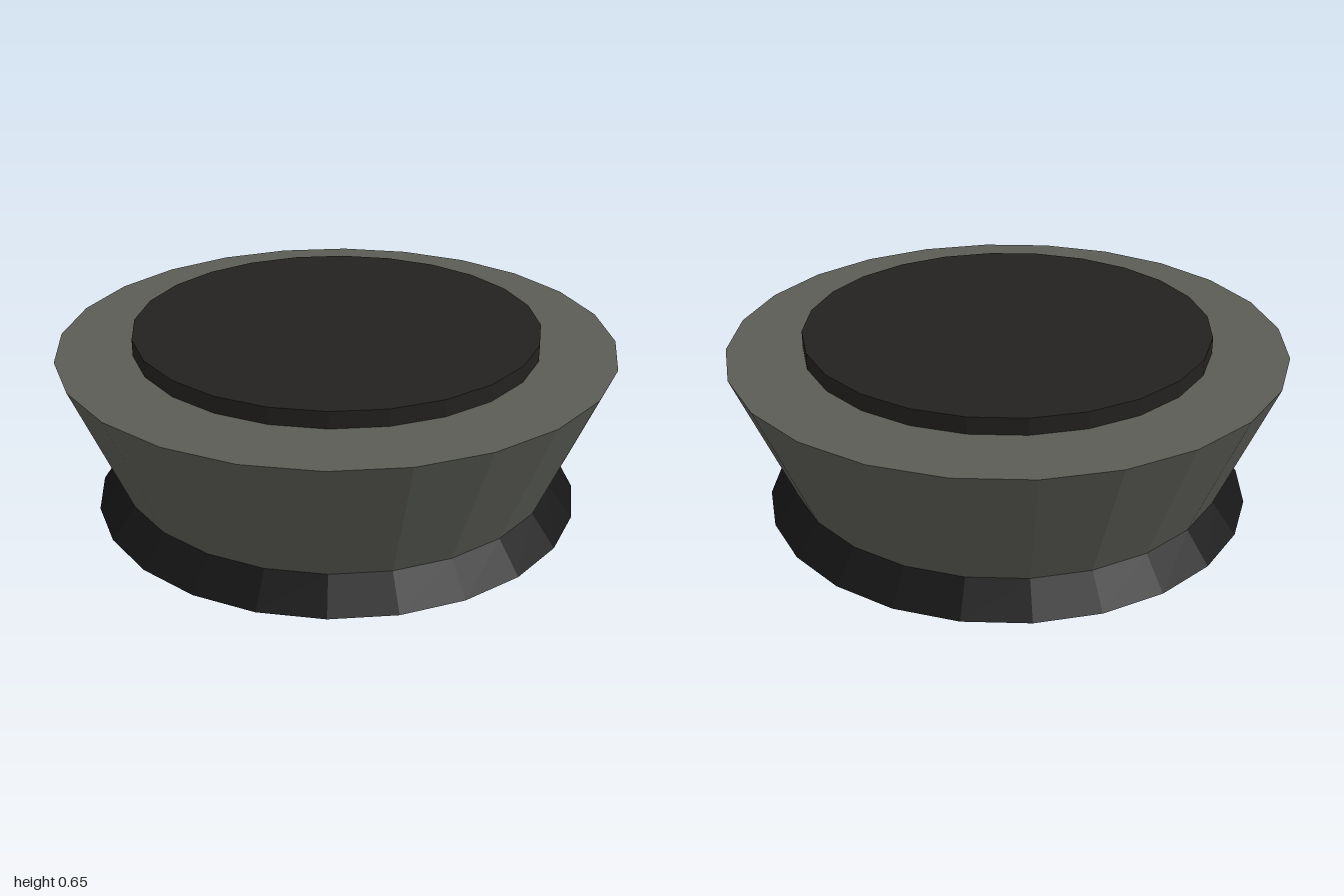
import * as THREE from 'three';

const SIDES = 24;

// One faceted round section between two heights
function section(name, topRadius, bottomRadius, y0, y1, color) {
  const geometry = new THREE.CylinderGeometry(topRadius, bottomRadius, y1 - y0, SIDES);
  const material = new THREE.MeshStandardMaterial({ color, flatShading: true });
  const mesh = new THREE.Mesh(geometry, material);
  mesh.name = name;
  mesh.position.y = (y0 + y1) / 2;
  return mesh;
}

export function createModel() {
  const model = new THREE.Group();
  model.name = 'roundPedestal';

  // Flared foot
  model.add(section('foot', 0.8, 0.89, 0, 0.11, 0x161616));
  // Body widening towards the rim
  model.add(section('body', 1, 0.8, 0.11, 0.595, 0x5a5c55));
  // Core running up through the body, showing as a raised disc on top
  model.add(section('core', 0.73, 0.73, 0.005, 0.655, 0x242220));

  return model;
}
